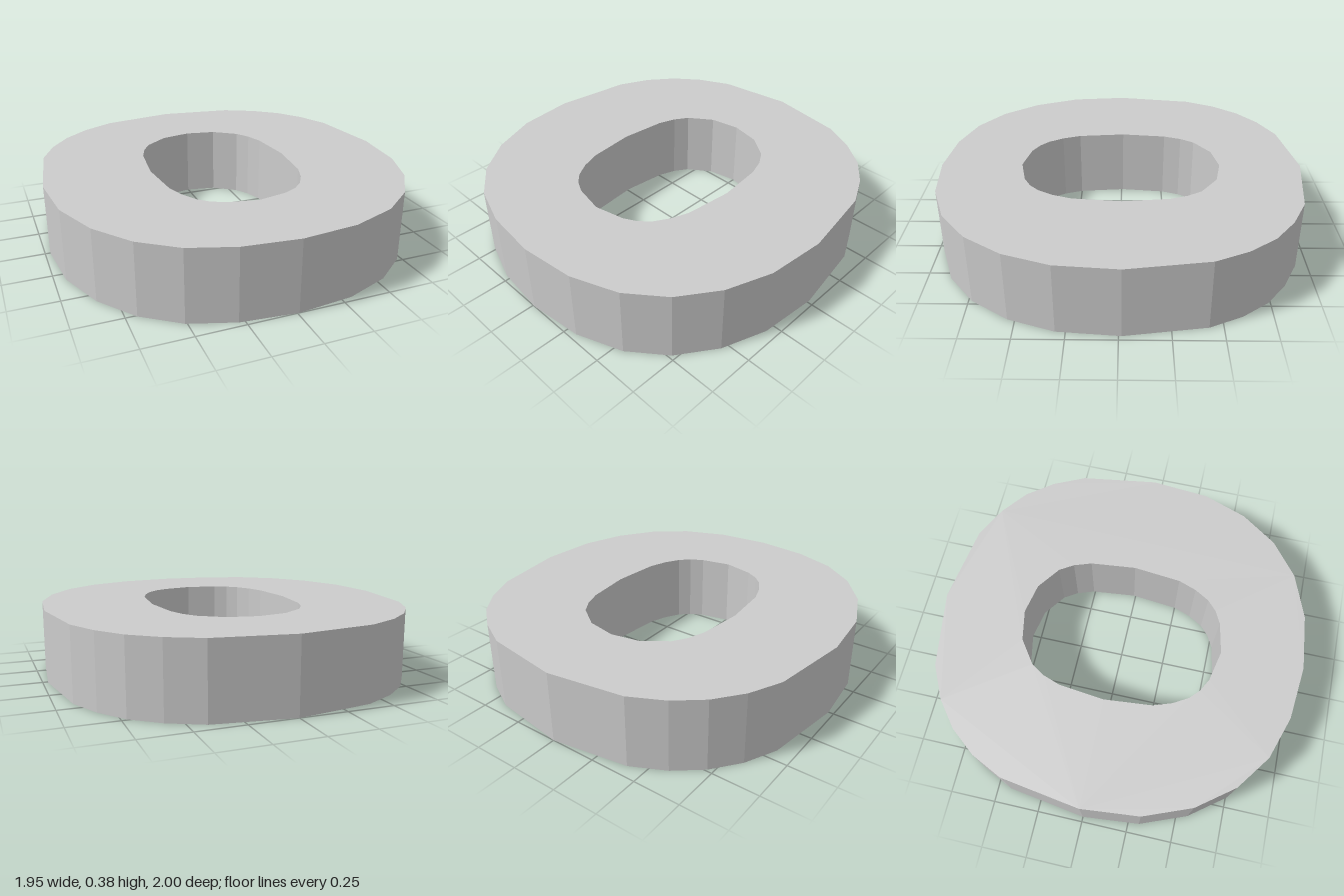
import * as THREE from 'three';

const HEIGHT = 0.385;

// Outer outline as [x, z], clockwise seen from above, starting at the back
const OUTER = [
  [0, -1], [0.413, -0.937], [0.585, -0.85], [0.725, -0.74], [0.83, -0.6], [0.91, -0.43],
  [0.973, -0.015], [0.946, 0.3], [0.862, 0.537], [0.727, 0.733], [0.545, 0.877], [0.305, 0.968],
  [0.01, 1], [-0.28, 0.97], [-0.51, 0.892], [-0.695, 0.757], [-0.842, 0.562], [-0.942, 0.31],
  [-0.973, 0], [-0.91, -0.43], [-0.83, -0.6], [-0.72, -0.74], [-0.583, -0.85], [-0.408, -0.937],
];

// Right half of the hole, from front to back; the other half is mirrored
const HOLE_HALF = [
  [0, 0.552], [0.165, 0.517], [0.235, 0.48], [0.288, 0.43], [0.335, 0.35], [0.37, 0.25],
  [0.395, -0.01], [0.368, -0.258], [0.335, -0.353], [0.288, -0.428], [0.163, -0.518], [0, -0.55],
];

const toPoints = (list) => list.map(([x, z]) => new THREE.Vector2(x, -z));

export function createModel() {
  const group = new THREE.Group();
  group.name = 'ovalRing';

  // The hole winds against the outline so that its wall faces inwards
  const mirrored = HOLE_HALF.slice(1, -1).reverse().map(([x, z]) => [-x, z]);
  const shape = new THREE.Shape(toPoints(OUTER));
  shape.holes.push(new THREE.Path(toPoints([...HOLE_HALF, ...mirrored])));

  // Flat faceted slab, laid down so that it stands on y = 0
  const geometry = new THREE.ExtrudeGeometry(shape, { depth: HEIGHT, bevelEnabled: false });
  geometry.rotateX(-Math.PI / 2);

  const ring = new THREE.Mesh(
    geometry,
    new THREE.MeshStandardMaterial({ color: 0xcccccc, flatShading: true })
  );
  ring.name = 'ringBody';
  group.add(ring);
  return group;
}
